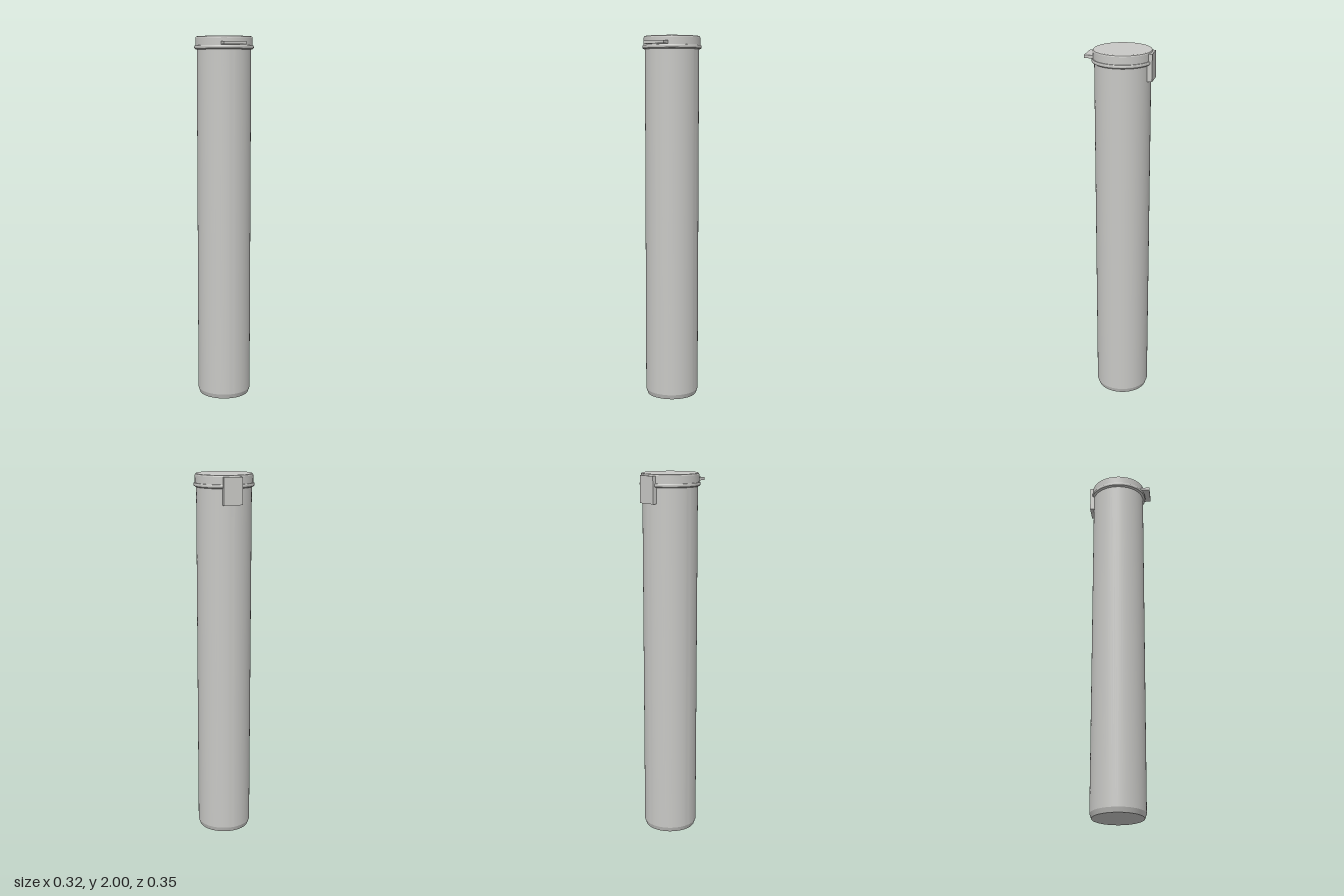
import * as THREE from 'three';
import { toCreasedNormals } from 'three/addons/utils/BufferGeometryUtils.js';

const AXIS_Z = -0.014;

export function createModel() {
  const root = new THREE.Group();
  root.name = 'capTube';
  const plastic = new THREE.MeshStandardMaterial({ color: 0xc8c8c5 });
  plastic.name = 'grey plastic';

  // Turned part from [radius, height] points, listed bottom to top
  const turned = (name, points) => {
    const profile = points.map(([r, y]) => new THREE.Vector2(r, y));
    const geometry = toCreasedNormals(new THREE.LatheGeometry(profile, 96), 0.3);
    const mesh = new THREE.Mesh(geometry, plastic);
    mesh.name = name;
    mesh.position.z = AXIS_Z;
    root.add(mesh);
  };

  // Box given by its lower and upper corners
  const block = (name, lo, hi) => {
    const size = hi.map((v, i) => v - lo[i]);
    const mesh = new THREE.Mesh(new THREE.BoxGeometry(...size), plastic);
    mesh.name = name;
    mesh.position.set(...hi.map((v, i) => (v + lo[i]) / 2));
    root.add(mesh);
  };

  // Long tube with a tapered foot
  turned('tubeBody', [[0, 0], [0.138, 0], [0.147, 0.026], [0.147, 1.94], [0, 1.94]]);

  // Flange where the lid meets the tube
  turned('rim', [[0.14, 1.93], [0.151, 1.93], [0.159, 1.935], [0.161, 1.94],
    [0.161, 1.946], [0.159, 1.951], [0.15, 1.952]]);

  // Lid with a softened top edge
  turned('lid', [[0.14, 1.945], [0.154, 1.945], [0.154, 1.991], [0.152, 1.997], [0.147, 2], [0, 2]]);

  // Thumb tab at the front, hinge plate at the back
  block('thumbTab', [-0.062, 1.955, 0.12], [0.062, 1.971, 0.176]);
  block('hingePlate', [-0.051, 1.847, -0.178], [0.051, 1.99, -0.152]);

  return root;
}
